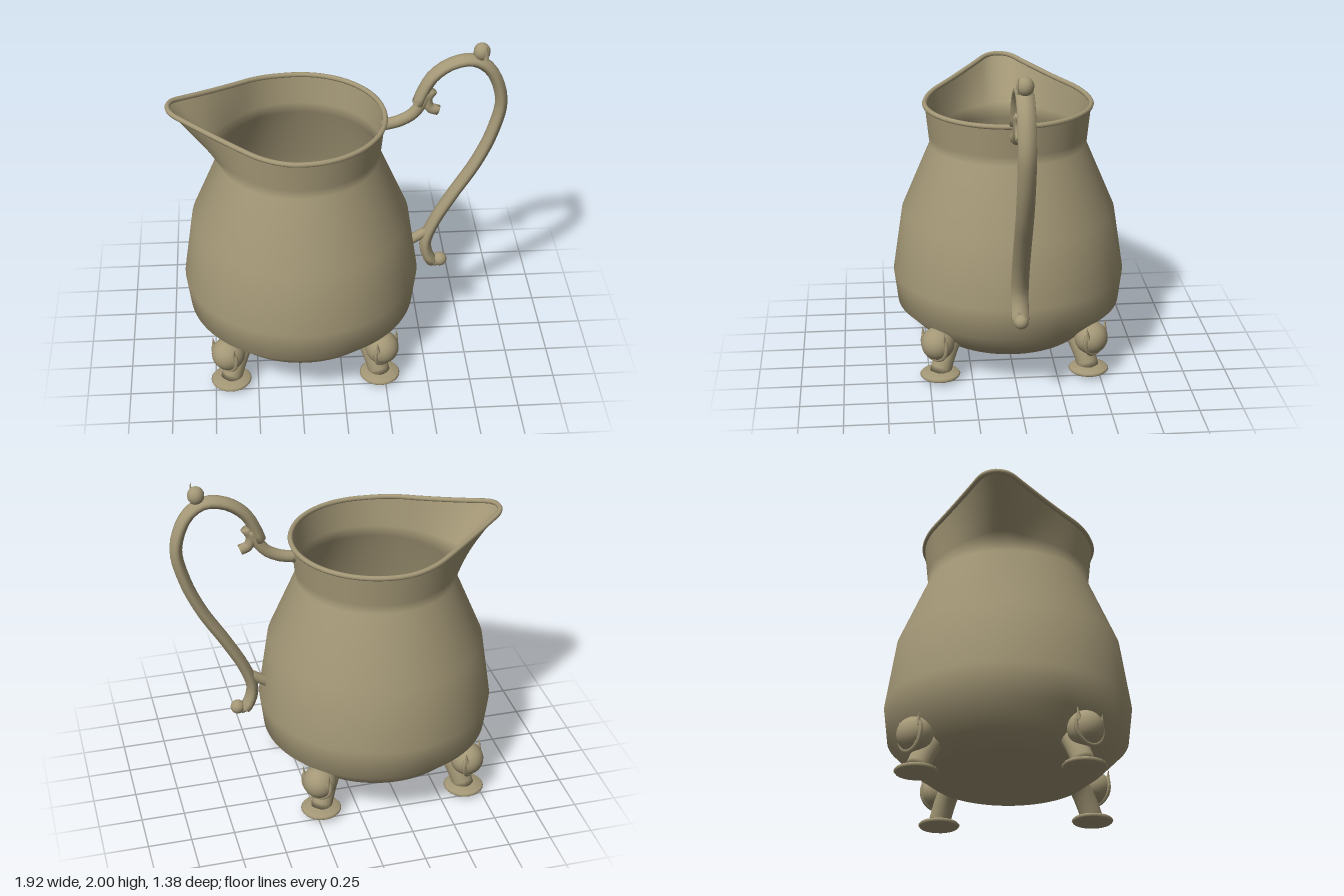
import * as THREE from 'three';
import { mergeVertices } from 'three/addons/utils/BufferGeometryUtils.js';

const CX = -0.22;      // axis of the body
const NECK_Y = 1.31;
const RIM_Y = 1.55;

const pewter = new THREE.MeshStandardMaterial({ color: 0xa39776, side: THREE.DoubleSide });
pewter.name = 'pewter';

function add(parent, name, geometry, x = 0, y = 0, z = 0) {
  const mesh = new THREE.Mesh(geometry, pewter);
  mesh.name = name;
  mesh.position.set(x, y, z);
  parent.add(mesh);
  return mesh;
}

// Radius of the pouring lip at angle a away from the spout: a round tip
// joined to the round mouth by tangent lines.
function lipRadius(a) {
  const R = 0.485, r = 0.12, d = 0.61;
  const phi = Math.acos((R - r) / d);
  const tipEnd = Math.atan2(r * Math.sin(phi), d + r * Math.cos(phi));
  a = Math.abs(a);
  if (a > phi) return R;
  if (a > tipEnd) return R / Math.cos(a - phi);
  return d * Math.cos(a) + Math.sqrt(r * r - (d * Math.sin(a)) ** 2);
}

// Point on the lip; a = 0 is the tip of the spout (-x)
function lipPoint(a) {
  const r = lipRadius(a);
  const x = -r * Math.cos(a);
  const rise = 0.1 * Math.max(0, (-x - 0.05) / 0.68) ** 1.5;
  return new THREE.Vector3(x, RIM_Y + rise, r * Math.sin(a));
}

function bodyGeometry() {
  const profile = [[0.001, 0.14], [0.25, 0.14], [0.44, 0.14], [0.54, 0.215], [0.665, 0.34],
    [0.688, 0.53], [0.63, 0.91], [0.46, NECK_Y], [0.465, 1.37], [0.47, 1.43], [0.478, 1.49], [0.485, RIM_Y]];
  let g = new THREE.LatheGeometry(profile.map(p => new THREE.Vector2(...p)), 120);
  const pos = g.attributes.position;
  const v = new THREE.Vector3();
  for (let i = 0; i < pos.count; i++) {
    v.fromBufferAttribute(pos, i);
    if (v.y <= NECK_Y) continue;
    // Blend from the round neck to the lip outline
    const t = (v.y - NECK_Y) / (RIM_Y - NECK_Y);
    const a = Math.atan2(v.z, -v.x);
    const neck = new THREE.Vector3(-0.46 * Math.cos(a), NECK_Y, 0.46 * Math.sin(a));
    v.copy(neck).lerp(lipPoint(a), t);
    pos.setXYZ(i, v.x, v.y, v.z);
  }
  g.deleteAttribute('uv');
  g.deleteAttribute('normal');
  g = mergeVertices(g, 1e-5);
  g.computeVertexNormals();
  return g;
}

// Sweeps a cross-section [across, z] along a flat path in the xy plane
function sweep(points, section, steps) {
  const curve = new THREE.CatmullRomCurve3(points.map(p => new THREE.Vector3(p[0], p[1], 0)));
  const n = section.length, verts = [], index = [];
  for (let i = 0; i <= steps; i++) {
    const p = curve.getPointAt(i / steps), t = curve.getTangentAt(i / steps);
    for (const [w, z] of section) verts.push(p.x - t.y * w, p.y + t.x * w, z);
  }
  for (let i = 0; i < steps; i++) {
    for (let j = 0; j < n; j++) {
      const a = i * n + j, b = i * n + (j + 1) % n;
      index.push(a, b, a + n, b, b + n, a + n);
    }
  }
  for (let j = 1; j < n - 1; j++) {
    index.push(0, j + 1, j);
    const e = steps * n;
    index.push(e, e + j, e + j + 1);
  }
  const g = new THREE.BufferGeometry();
  g.setAttribute('position', new THREE.Float32BufferAttribute(verts, 3));
  g.setIndex(index);
  g.computeVertexNormals();
  return g;
}

function round(r, sides = 12) {
  return Array.from({ length: sides }, (_, i) => {
    const a = i / sides * Math.PI * 2;
    return [r * Math.cos(a), r * Math.sin(a)];
  });
}

function makeHandle() {
  const handle = new THREE.Group();
  handle.name = 'handle';
  // Ridged oval grip
  const ridged = Array.from({ length: 16 }, (_, i) => {
    const a = i / 16 * Math.PI * 2, k = i % 4 === 2 ? 0.88 : 1;
    return [0.035 * k * Math.cos(a), 0.05 * k * Math.sin(a)];
  });
  add(handle, 'grip', sweep([[0.45, 1.62], [0.475, 1.69], [0.53, 1.79], [0.63, 1.865], [0.75, 1.885],
    [0.85, 1.82], [0.92, 1.63], [0.885, 1.43], [0.8, 1.22], [0.66, 0.98], [0.565, 0.8],
    [0.52, 0.66], [0.535, 0.57], [0.565, 0.515]], ridged, 44));
  // Scroll at the top of the grip
  add(handle, 'scroll', sweep([[0.53, 1.7], [0.5, 1.65], [0.515, 1.59], [0.565, 1.57]], round(0.03), 8));
  // Struts to the body
  add(handle, 'upperStrut', sweep([[0.25, 1.485], [0.34, 1.505], [0.42, 1.55], [0.47, 1.62], [0.5, 1.69]], round(0.034), 12));
  add(handle, 'lowerStrut', sweep([[0.42, 0.67], [0.47, 0.7], [0.53, 0.74]], round(0.03), 6));
  // Curled end with a ball
  add(handle, 'curl', sweep([[0.55, 0.53], [0.575, 0.51], [0.61, 0.53]], round(0.03), 4));
  add(handle, 'endBall', new THREE.SphereGeometry(0.042, 16, 12), 0.612, 0.527, 0);
  // Bud on top
  add(handle, 'bud', new THREE.SphereGeometry(0.047, 16, 12), 0.795, 1.935, 0).scale.y = 1.1;
  const leaf = add(handle, 'budLeaf', new THREE.ConeGeometry(0.018, 0.1, 6), 0.815, 1.95, 0.04);
  leaf.scale.z = 0.4;
  return handle;
}

// One foot, pointing outward along +x
function makeFoot() {
  const foot = new THREE.Group();
  foot.name = 'foot';
  const pad = [[0.001, 0], [0.06, 0.01], [0.11, 0.025], [0.118, 0.035], [0.11, 0.045], [0.06, 0.06], [0.001, 0.062]];
  add(foot, 'footPad', new THREE.LatheGeometry(pad.map(p => new THREE.Vector2(...p)), 24), 0.62, 0, 0);
  add(foot, 'footLeg', sweep([[0.62, 0.04], [0.585, 0.12], [0.53, 0.21], [0.46, 0.27]], round(0.062, 16), 8));
  add(foot, 'footKnob', new THREE.SphereGeometry(0.098, 24, 16), 0.635, 0.235, 0);
  // Leaf-like collar open at the top, with two upright tips
  const collar = new THREE.TorusGeometry(0.094, 0.012, 6, 24, Math.PI * 1.3);
  collar.rotateZ(Math.PI * 0.85);
  collar.rotateY(Math.PI / 2);
  add(foot, 'footCollar', collar, 0.665, 0.235, 0);
  for (const s of [-1, 1]) {
    const tip = add(foot, 'collarTip', new THREE.ConeGeometry(0.016, 0.075, 6), 0.672, 0.295, s * 0.083);
    tip.rotation.x = s * 0.15;
  }
  return foot;
}

export function createModel() {
  const model = new THREE.Group();
  model.name = 'creamJug';

  add(model, 'body', bodyGeometry(), CX);

  // Rolled rim following the lip, denser near the tip
  const lip = Array.from({ length: 96 }, (_, i) => {
    const u = i / 96 * 2 - 1;
    return lipPoint(Math.PI * Math.sign(u) * Math.abs(u) ** 1.4);
  });
  const rimCurve = new THREE.CatmullRomCurve3(lip, true);
  add(model, 'rim', new THREE.TubeGeometry(rimCurve, 140, 0.015, 8, true), CX);

  model.add(makeHandle());

  for (let i = 0; i < 4; i++) {
    const foot = makeFoot();
    foot.position.x = CX;
    foot.rotation.y = Math.PI / 4 + i * Math.PI / 2;
    model.add(foot);
  }
  return model;
}
